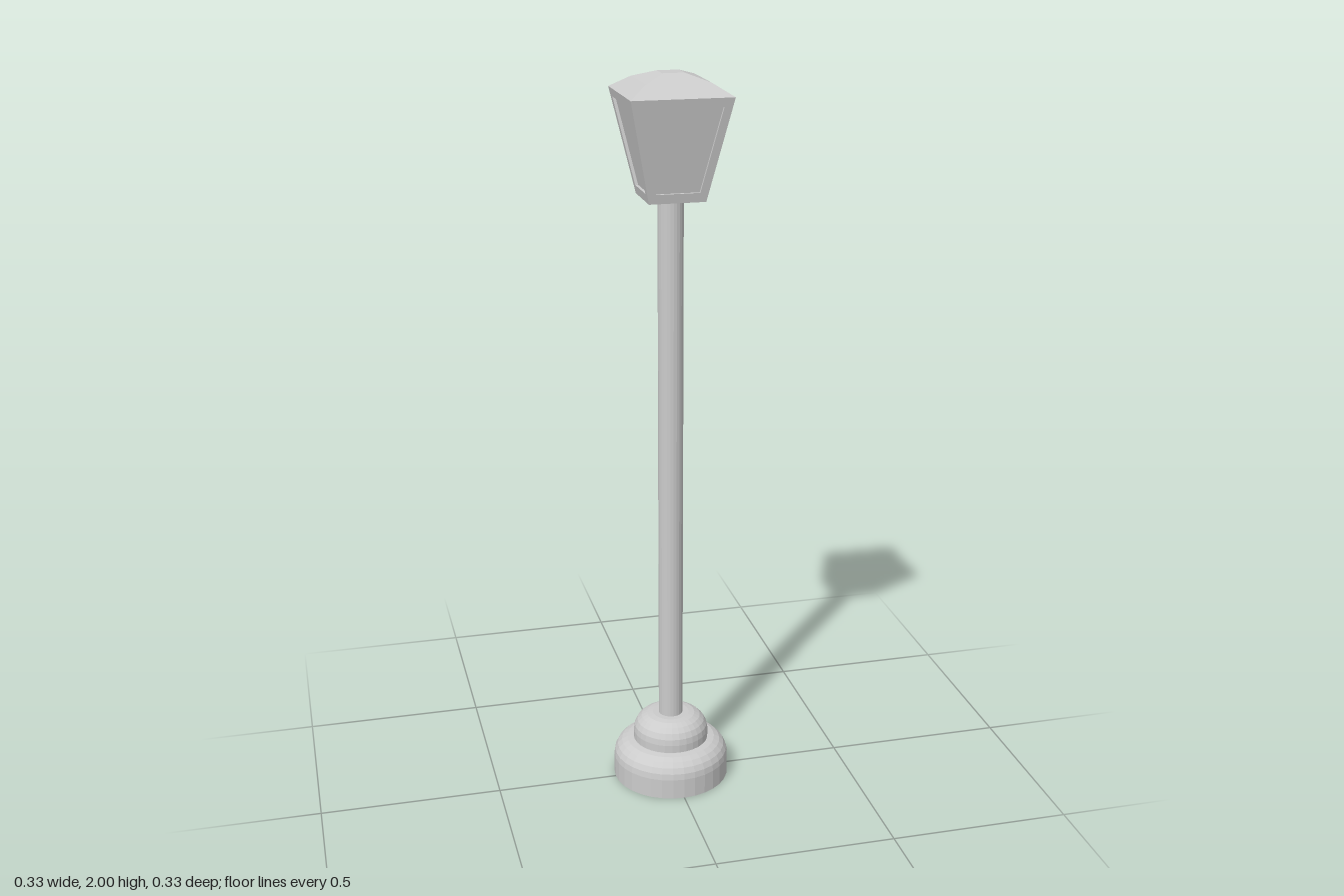
import * as THREE from 'three';

const material = new THREE.MeshStandardMaterial({ color: 0xcccccc, flatShading: true });

function add(parent, name, geometry) {
  const mesh = new THREE.Mesh(geometry, material);
  mesh.name = name;
  parent.add(mesh);
  return mesh;
}

// Turned profile, listed from bottom to top as [radius, y]
function turned(profile, sides, start = 0) {
  return new THREE.LatheGeometry(profile.map(([r, y]) => new THREE.Vector2(r, y)), sides, start);
}

// Disc tier with a rounded upper edge
function tier(radius, y0, y1, round) {
  const profile = [[0, y0], [radius, y0]];
  for (let i = 0; i <= 5; i++) {
    const a = (i / 5) * Math.PI / 2;
    profile.push([radius - round + round * Math.cos(a), y1 - round + round * Math.sin(a)]);
  }
  profile.push([0, y1]);
  return turned(profile, 32);
}

// Square loft: half widths become corner radii of a four-sided lathe
function squareLoft(profile) {
  return turned(profile.map(([h, y]) => [h * Math.SQRT2, y]), 4, Math.PI / 4);
}

const BOTTOM = { y: 1.68, half: 0.075 };
const TOP = { y: 1.95, half: 0.133 };

// One sloping lantern wall: a frame, its reveal and a recessed pane
function lanternWall() {
  const slope = (TOP.half - BOTTOM.half) / (TOP.y - BOTTOM.y);
  const ring = (y0, h0, y1, h1, depth) =>
    [[-h0, y0], [h0, y0], [h1, y1], [-h1, y1]].map(([x, y]) =>
      [x, y, BOTTOM.half + (y - BOTTOM.y) * slope - depth]);
  const rings = [
    ring(BOTTOM.y, BOTTOM.half, TOP.y, TOP.half, 0),
    ring(1.705, 0.058, 1.927, 0.106, 0),
    ring(1.705, 0.058, 1.927, 0.106, 0.008),
  ];
  const positions = [];
  const quad = (a, b, c, d) => positions.push(...a, ...b, ...c, ...a, ...c, ...d);
  for (let r = 0; r < 2; r++) {
    for (let i = 0; i < 4; i++) {
      const j = (i + 1) % 4;
      quad(rings[r][i], rings[r][j], rings[r + 1][j], rings[r + 1][i]);
    }
  }
  quad(...rings[2]);
  const geometry = new THREE.BufferGeometry();
  geometry.setAttribute('position', new THREE.Float32BufferAttribute(positions, 3));
  geometry.computeVertexNormals();
  return geometry;
}

export function createModel() {
  const model = new THREE.Group();
  model.name = 'streetLamp';

  // Stepped base
  add(model, 'lowerBase', tier(0.163, 0, 0.113, 0.055));
  add(model, 'upperBase', tier(0.106, 0.11, 0.19, 0.055));

  // Post
  const post = add(model, 'post', new THREE.CylinderGeometry(0.034, 0.034, 1.52, 24));
  post.position.y = 0.93;

  // Lantern
  const lantern = new THREE.Group();
  lantern.name = 'lantern';
  model.add(lantern);
  const wall = lanternWall();
  for (let i = 0; i < 4; i++) {
    add(lantern, 'lanternWall', wall).rotation.y = i * Math.PI / 2;
  }
  add(lantern, 'lanternFloor', squareLoft([[0, BOTTOM.y], [BOTTOM.half, BOTTOM.y]]));
  add(lantern, 'roof', squareLoft([[TOP.half, TOP.y], [0.084, 1.981], [0.029, 2], [0, 2]]));

  return model;
}
